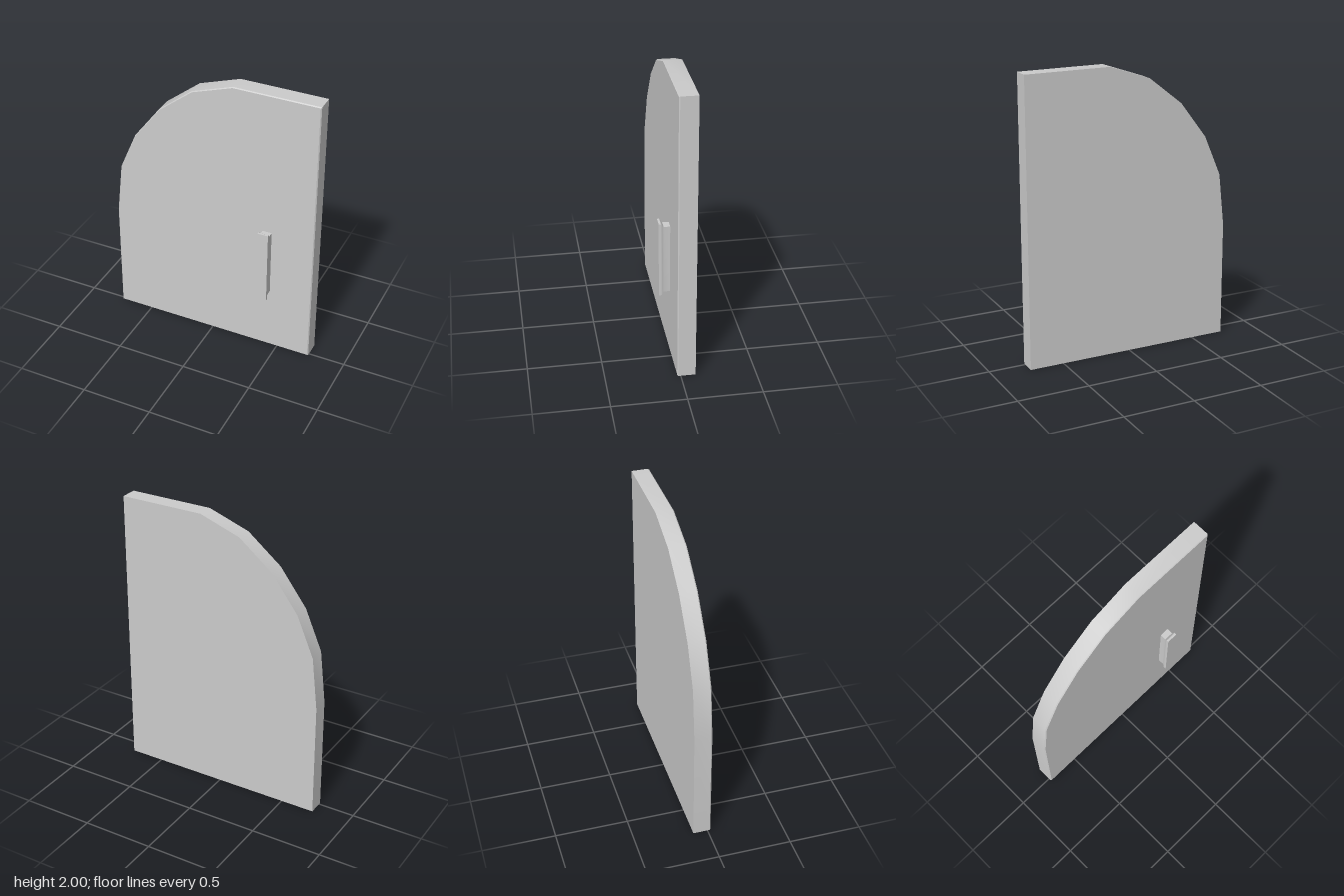
import * as THREE from 'three';
import { toCreasedNormals } from 'three/addons/utils/BufferGeometryUtils.js';

const material = new THREE.MeshStandardMaterial({ color: 0xcccccc });

// Lofts a counter-clockwise outline through [z, scaleX, scaleY] sections, back to front, with flat caps.
function loft(outline, sections) {
  const n = outline.length;
  const positions = [];
  const index = [];
  for (const [z, sx, sy] of sections) {
    for (const [x, y] of outline) positions.push(x * sx, y * sy, z);
  }
  for (let s = 0; s < sections.length - 1; s++) {
    for (let i = 0; i < n; i++) {
      const a = s * n + i, b = s * n + (i + 1) % n;
      index.push(a, b, b + n, a, b + n, a + n);
    }
  }
  const front = (sections.length - 1) * n;
  const points = outline.map(([x, y]) => new THREE.Vector2(x, y));
  for (const [a, b, c] of THREE.ShapeUtils.triangulateShape(points, [])) {
    index.push(a, c, b, front + a, front + b, front + c);
  }
  const geometry = new THREE.BufferGeometry();
  geometry.setAttribute('position', new THREE.Float32BufferAttribute(positions, 3));
  geometry.setIndex(index);
  return toCreasedNormals(geometry, 0.5);
}

function addPart(group, name, geometry, x, y) {
  const mesh = new THREE.Mesh(geometry, material);
  mesh.name = name;
  mesh.position.set(x, y, 0);
  group.add(mesh);
}

export function createModel() {
  const group = new THREE.Group();
  group.name = 'archedDoor';

  // Door leaf: half of a faceted arch, with a fine chamfer round the front
  const leaf = [
    [-0.74, -1], [0.74, -1], [0.74, 1], [0.14, 1], [-0.15, 0.9],
    [-0.39, 0.71], [-0.58, 0.46], [-0.7, 0.18], [-0.74, -0.19],
  ];
  addPart(group, 'doorLeaf', loft(leaf, [
    [-0.1, 1, 1], [0.016, 1, 1], [0.023, 0.991, 0.994],
  ]), 0, 1);

  // Pull handle: narrower neck flaring out to a flat grip
  const grip = [[-0.039, -0.27], [0.039, -0.27], [0.039, 0.27], [-0.039, 0.27]];
  addPart(group, 'handle', loft(grip, [
    [0.015, 0.85, 0.907], [0.066, 0.85, 0.907], [0.072, 0.9, 0.93],
    [0.08, 1, 0.985], [0.086, 1, 1], [0.1, 1, 1],
  ]), 0.403, 0.72);

  return group;
}
